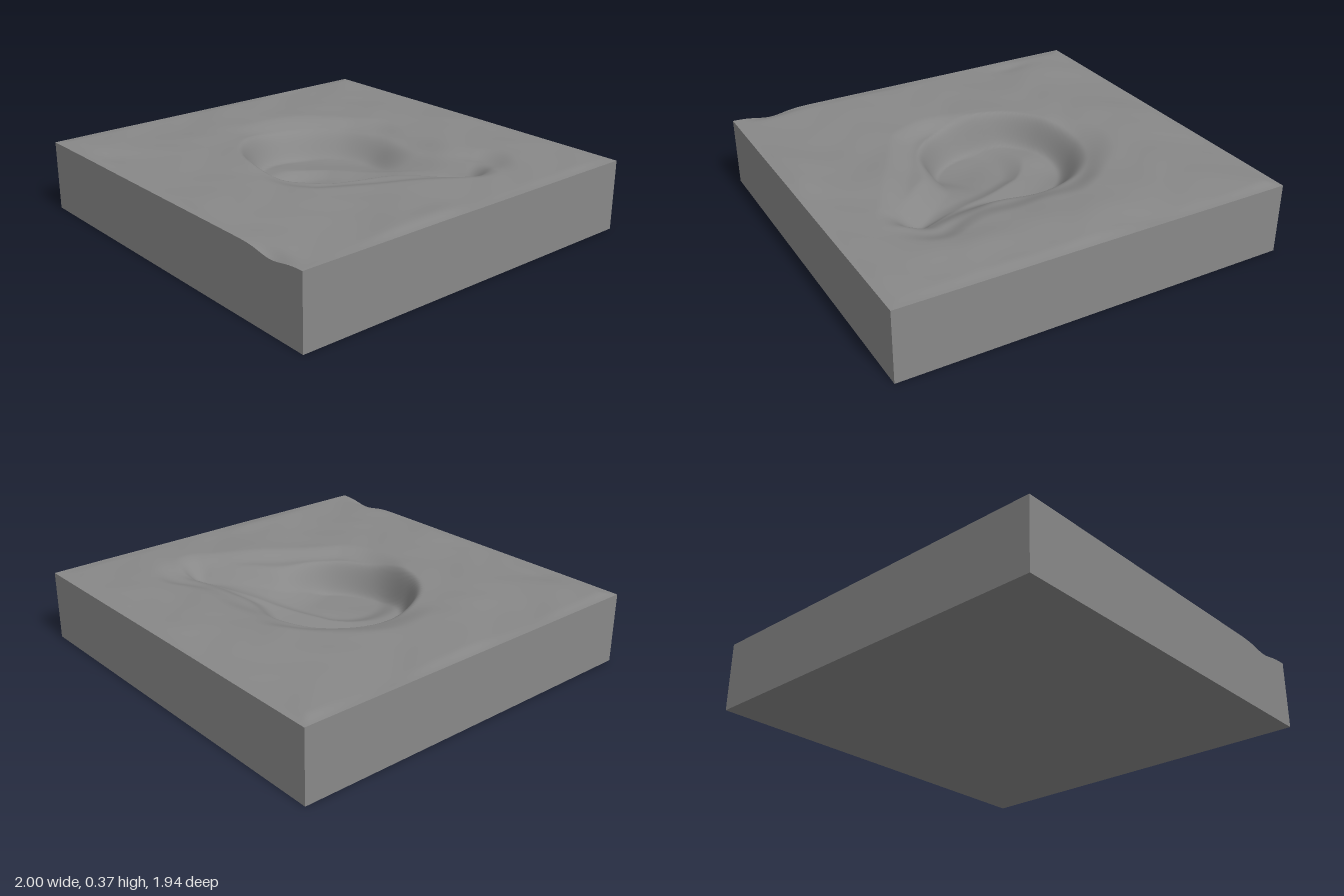
import * as THREE from 'three';

const WIDTH = 2, DEPTH = 1.94, TOP = 0.355;
const { smoothstep, lerp, clamp } = THREE.MathUtils;

// Soft round bump: [x, z, radiusX, radiusZ, height]
const BUMPS = [
  [0.05, -0.72, 0.3, 0.16, 0.012],
  [0.5, -0.7, 0.28, 0.1, 0.01],
  [-0.65, 0.68, 0.2, 0.18, 0.01],
  [-0.6, 0.1, 0.12, 0.3, 0.006],
  [-0.62, 0.87, 0.12, 0.05, -0.008],
  [-0.3, -0.75, 0.18, 0.15, 0.006],
  [0.92, 0.2, 0.06, 0.2, 0.006],
  [0.8, 0.97, 0.1, 0.05, -0.022],
];

// Gentle ground relief, fading out towards the block's edges
function relief(x, z) {
  const edge = Math.min(WIDTH / 2 - Math.abs(x), DEPTH / 2 - Math.abs(z));
  const waves = 0.003 * Math.sin(5.1 * x + 2 * Math.sin(3.3 * z))
    + 0.003 * Math.sin(6.7 * z + 1.7 * Math.sin(4.1 * x) + 1)
    + 0.0015 * Math.sin(13 * x - 9 * z)
    + 0.001 * Math.sin(21 * z + 2 * Math.sin(11 * x));
  let h = (0.005 + waves) * smoothstep(edge, 0, 0.07);
  for (const [bx, bz, rx, rz, height] of BUMPS) {
    h += height * Math.exp(-(((x - bx) / rx) ** 2) - ((z - bz) / rz) ** 2);
  }
  return h;
}

// Distance inside a capsule that tapers from radius r0 at a to r1 at b
function capsule(x, z, ax, az, bx, bz, r0, r1) {
  const ux = bx - ax, uz = bz - az;
  const t = clamp(((x - ax) * ux + (z - az) * uz) / (ux * ux + uz * uz), 0, 1);
  return lerp(r0, r1, t) - Math.hypot(x - ax - t * ux, z - az - t * uz);
}

// Smooth union of two inside distances
function blend(a, b, k) {
  const h = Math.max(k - Math.abs(a - b), 0) / k;
  return Math.max(a, b) + h * h * k * 0.25;
}

// Depth of the pit: a round bowl that opens into a rising, tapering spout
function pit(x, z) {
  const bowl = 0.42 - Math.hypot(x + 0.05, z + 0.01);
  const spout = capsule(x, z, 0.12, -0.12, 0.57, -0.36, 0.26, 0.14);
  const inside = blend(bowl, spout, 0.08);

  // walls are broad at the back and steep at the front of the bowl
  const wall = smoothstep(inside, 0, lerp(0.15, 0.09, smoothstep(z, -0.3, 0.3)));

  // floor is deepest at the front of the bowl and climbs along the spout
  const along = 0.88 * (x + 0.05) - 0.47 * z;
  const across = 0.47 * (x + 0.05) + 0.88 * z;
  const climb = smoothstep(along, 0.12, 0.62);
  const front = smoothstep(across, -0.12, 0.2) * smoothstep(along, 0.15, 0.4);
  const floor = (0.11 + 0.05 * smoothstep(z, -0.35, 0.25))
    * lerp(1, 0.62, climb) * lerp(1, 0.6, front);

  // worn shoulder outside the rim, widest at the back and the front right
  const scallop = 0.015 * Math.sin(17 * x + 3 * z);
  const back = smoothstep(-x * 0.5 - z, 0, 0.3) * smoothstep(inside + scallop, -0.13, 0.02);
  const lip = capsule(x, z, 0.12, 0.14, 0.62, -0.34, 0.36, 0.15);
  return floor * wall + 0.034 * Math.max(back, smoothstep(lip, 0, 0.14));
}

export function createModel() {
  const group = new THREE.Group();
  const geometry = new THREE.BoxGeometry(WIDTH, TOP, DEPTH, 140, 1, 136);
  geometry.translate(0, TOP / 2, 0);

  // Sculpt the top face together with the upper edges of the sides
  const pos = geometry.attributes.position;
  for (let i = 0; i < pos.count; i++) {
    if (pos.getY(i) < TOP / 2) continue;
    const x = pos.getX(i), z = pos.getZ(i);
    pos.setY(i, TOP + relief(x, z) - pit(x, z));
  }
  geometry.computeVertexNormals();

  const block = new THREE.Mesh(geometry, new THREE.MeshStandardMaterial({ color: 0x888888 }));
  block.name = 'groundBlockWithPit';
  group.add(block);
  return group;
}
